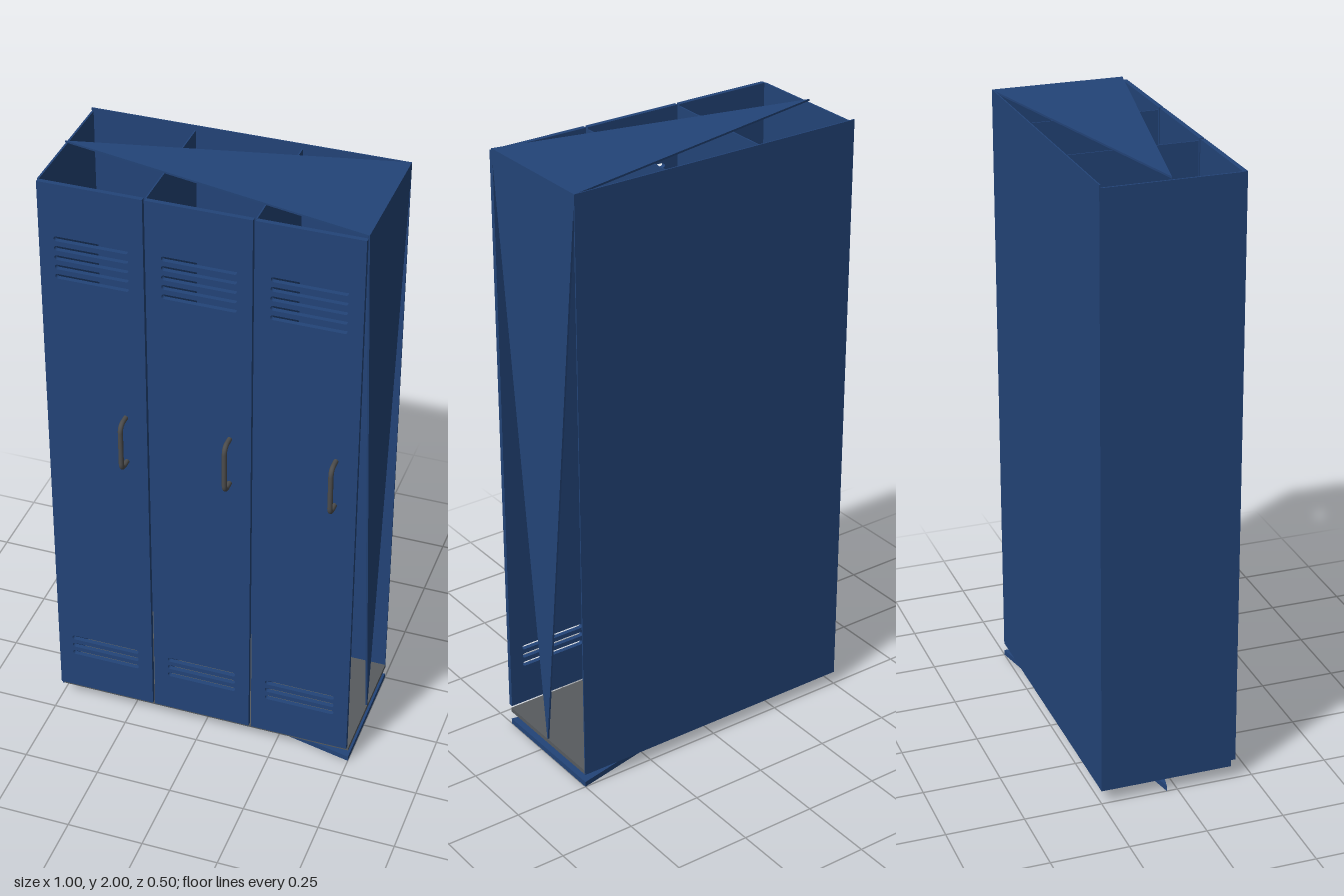
import * as THREE from 'three';

const BACK = -0.25, FRONT = 0.18, MID_Z = -0.035, T = 0.006;

export function createModel() {
  const group = new THREE.Group();
  group.name = 'lockerCabinet';

  const blue = new THREE.MeshStandardMaterial({ color: 0x234478 });
  blue.name = 'bluePaint';
  const floorGrey = new THREE.MeshStandardMaterial({ color: 0x575b5e });
  floorGrey.name = 'floorGrey';
  const handleGrey = new THREE.MeshStandardMaterial({ color: 0x4c4c4c });
  handleGrey.name = 'handleGrey';

  const add = (name, geometry, material, x = 0, y = 0, z = 0, parent = group) => {
    const mesh = new THREE.Mesh(geometry, material);
    mesh.name = name;
    mesh.position.set(x, y, z);
    parent.add(mesh);
    return mesh;
  };

  // Box given by its lower and upper corners
  const addBox = (name, material, x0, x1, y0, y1, z0, z1) =>
    add(name, new THREE.BoxGeometry(x1 - x0, y1 - y0, z1 - z0), material,
      (x0 + x1) / 2, (y0 + y1) / 2, (z0 + z1) / 2);

  // Thin triangular plate drawn in the xy plane
  const triangle = (points, depth) => new THREE.ExtrudeGeometry(
    new THREE.Shape(points.map(([x, y]) => new THREE.Vector2(x, y))),
    { depth, bevelEnabled: false });

  // Carcass: back, right wall, dividers and floor
  addBox('backPanel', blue, -0.5, 0.5, 0.045, 2, BACK, BACK + 0.004);
  addBox('rightWall', blue, -0.5, -0.5 + T, 0.045, 1.99, BACK, FRONT);
  for (const x of [-0.168, 0.167]) {
    addBox('divider', blue, x - 0.002, x + 0.002, 0.06, 1.985, BACK + 0.004, FRONT - 0.005);
  }
  addBox('floor', floorGrey, -0.5 + T, 0.5, 0.046, 0.06, BACK + 0.004, FRONT);

  // Triangular plates on top, underneath and on the left side
  const flat = [[-0.5, MID_Z], [0.5, BACK], [0.5, FRONT]];
  add('topPlate', triangle(flat, T).rotateX(Math.PI / 2), blue, 0, 2, 0);
  add('basePlate', triangle(flat, 0.018).rotateX(Math.PI / 2), blue, 0, 0.018, 0);
  const side = [[MID_Z, 0.05], [FRONT, 2], [BACK, 2]];
  add('leftPlate', triangle(side, T).rotateY(-Math.PI / 2), blue, 0.5, 0, 0);

  // Door panel with rounded vent slots cut through
  const doorWidth = 0.326, doorBottom = 0.065, doorTop = 1.99;
  const slot = (y) => {
    const r = 0.008, h = 0.116 - r;
    const path = new THREE.Path();
    path.moveTo(-h, y - r);
    path.lineTo(h, y - r);
    path.absarc(h, y, r, -Math.PI / 2, Math.PI / 2, false);
    path.lineTo(-h, y + r);
    path.absarc(-h, y, r, Math.PI / 2, Math.PI * 1.5, false);
    return path;
  };
  const panel = new THREE.Shape();
  panel.moveTo(-doorWidth / 2, doorBottom);
  panel.lineTo(doorWidth / 2, doorBottom);
  panel.lineTo(doorWidth / 2, doorTop);
  panel.lineTo(-doorWidth / 2, doorTop);
  panel.closePath();
  for (let i = 0; i < 5; i++) panel.holes.push(slot(1.677 + i * 0.0323));
  for (let i = 0; i < 3; i++) panel.holes.push(slot(0.209 + i * 0.0315));
  const doorGeometry = new THREE.ExtrudeGeometry(panel,
    { depth: 0.015, bevelEnabled: false, curveSegments: 6 });

  // Pull handle: a bar with rounded corners
  const v = (y, z) => new THREE.Vector3(0, y, z);
  const path = new THREE.CurvePath();
  path.add(new THREE.LineCurve3(v(1.047, 0.19), v(1.047, 0.217)));
  path.add(new THREE.QuadraticBezierCurve3(v(1.047, 0.217), v(1.047, 0.242), v(1.072, 0.242)));
  path.add(new THREE.LineCurve3(v(1.072, 0.242), v(1.187, 0.242)));
  path.add(new THREE.QuadraticBezierCurve3(v(1.187, 0.242), v(1.212, 0.242), v(1.212, 0.217)));
  path.add(new THREE.LineCurve3(v(1.212, 0.217), v(1.212, 0.19)));
  const handleGeometry = new THREE.TubeGeometry(path, 48, 0.008, 10, false);

  for (const x of [-0.334, 0, 0.334]) {
    const door = new THREE.Group();
    door.name = 'door';
    door.position.x = x;
    add('doorPanel', doorGeometry, blue, 0, 0, FRONT, door);
    add('handle', handleGeometry, handleGrey, 0.095, 0, 0, door);
    group.add(door);
  }

  return group;
}
